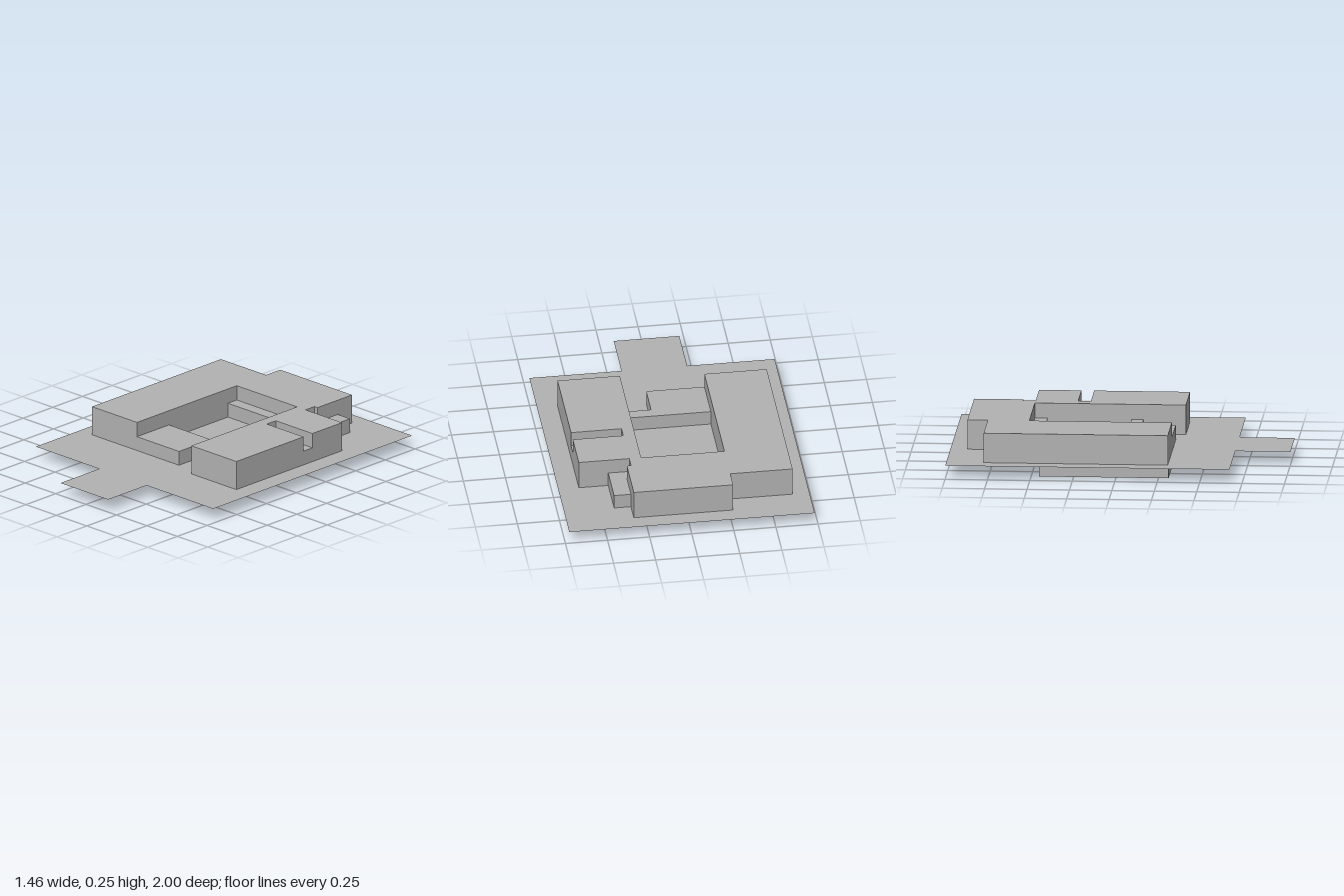
import * as THREE from 'three';

const GROUND = 0.078; // height of the site plate
const LOW = 0.165;    // roof of the single-storey links
const HIGH = 0.255;   // roof of the main wings

// Plan outline given as [x, z] pairs
const plan = (points) => new THREE.Shape(points.map(([x, z]) => new THREE.Vector2(x, -z)));
const rect = (x0, x1, z0, z1) => [[x0, z1], [x1, z1], [x1, z0], [x0, z0]];

export function createModel() {
  const model = new THREE.Group();
  model.name = 'courtyardBuilding';
  const grey = new THREE.MeshStandardMaterial({ color: 0xb2b2b2, side: THREE.DoubleSide });
  grey.name = 'concreteGrey';

  function add(name, geometry, y) {
    geometry.rotateX(-Math.PI / 2);
    const mesh = new THREE.Mesh(geometry, grey);
    mesh.name = name;
    mesh.position.y = y;
    model.add(mesh);
  }
  const block = (name, points, y0, y1) =>
    add(name, new THREE.ExtrudeGeometry(plan(points), { depth: y1 - y0, bevelEnabled: false }), y0);

  // Paper-thin site with the entrance path
  add('sitePlate', new THREE.ShapeGeometry(plan([
    [-0.73, 0.675], [-0.21, 0.675], [-0.21, 1], [0.18, 1], [0.18, 0.675],
    [0.727, 0.675], [0.727, -1], [-0.73, -1],
  ])), GROUND);

  // Basement below the right wing
  block('basement', rect(-0.63, -0.335, -0.455, 0.31), 0, GROUND);

  // Full-height wings around the courtyard
  block('mainWings', [
    [-0.63, 0.305], [-0.26, 0.305], [-0.26, -0.535], [0.235, -0.535],
    [0.235, 0.355], [0.605, 0.355], [0.605, -0.21], [0.305, -0.21],
    [0.305, -0.285], [0.605, -0.285], [0.605, -0.535], [0.305, -0.535],
    [0.305, -0.61], [0.33, -0.61], [0.33, -0.9], [-0.26, -0.9],
    [-0.26, -0.78], [-0.63, -0.78],
  ], GROUND, HIGH);

  // Low links and annexes
  block('frontLink', [
    [-0.26, 0.305], [0.085, 0.305], [0.085, 0.105], [0.235, 0.105],
    [0.235, 0.035], [-0.26, 0.035],
  ], GROUND, LOW);
  block('courtyardGallery', rect(-0.26, 0.235, -0.535, -0.46), GROUND, LOW);
  block('leftWingPassage', rect(0.305, 0.605, -0.285, -0.21), GROUND, LOW);
  block('backAnnex', [
    [0.305, -0.535], [0.43, -0.535], [0.43, -0.78], [0.33, -0.78],
    [0.33, -0.61], [0.305, -0.61],
  ], GROUND, LOW);

  return model;
}
